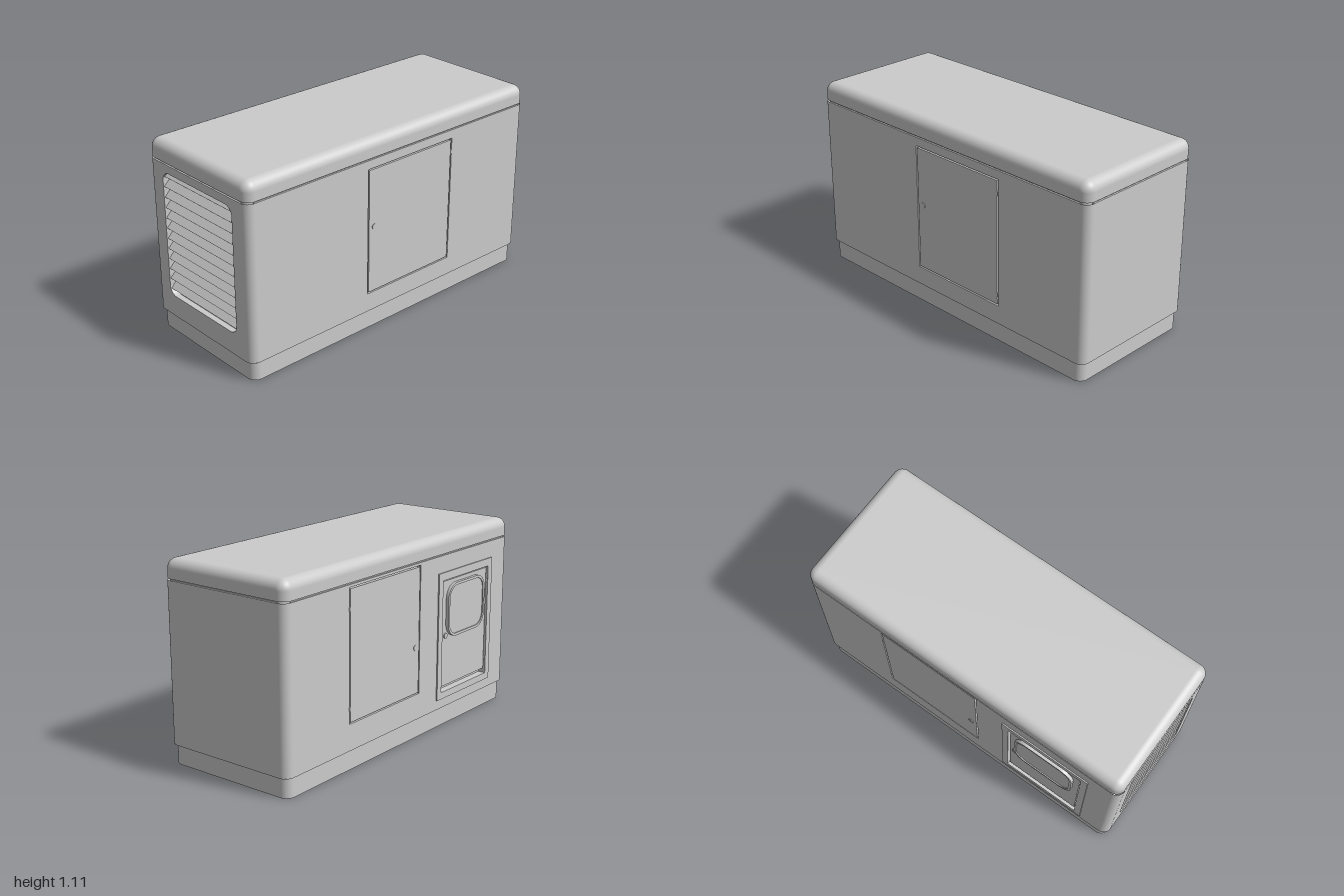
import * as THREE from 'three';
import { RoundedBoxGeometry } from 'three/addons/geometries/RoundedBoxGeometry.js';

const grey = new THREE.MeshStandardMaterial({ color: 0xcccccc, side: THREE.DoubleSide });
const HALF_X = 1, HALF_Z = 0.405, R = 0.05, BOTTOM = 0.11, TOP = 0.997, WALL = 0.04;

function add(parent, name, geometry, x = 0, y = 0, z = 0) {
  const mesh = new THREE.Mesh(geometry, grey);
  mesh.name = name;
  mesh.position.set(x, y, z);
  parent.add(mesh);
  return mesh;
}

// Rectangle with rounded corners, centred on (cx, cy)
function roundRect(w, h, r, cx = 0, cy = 0, Type = THREE.Shape) {
  const s = new Type(), x = w / 2 - r, y = h / 2 - r;
  if (r === 0) {
    s.moveTo(cx - x, cy - y).lineTo(cx + x, cy - y).lineTo(cx + x, cy + y).lineTo(cx - x, cy + y);
  } else {
    s.absarc(cx + x, cy + y, r, 0, Math.PI / 2);
    s.absarc(cx - x, cy + y, r, Math.PI / 2, Math.PI);
    s.absarc(cx - x, cy - y, r, Math.PI, Math.PI * 1.5);
    s.absarc(cx + x, cy - y, r, Math.PI * 1.5, Math.PI * 2);
  }
  s.closePath();
  return s;
}

const extrude = (shape, depth) =>
  new THREE.ExtrudeGeometry(shape, { depth, bevelEnabled: false, curveSegments: 10 });

// Flat plate with rounded corners in plan
function plate(parent, name, w, d, r, y0, y1) {
  add(parent, name, extrude(roundRect(w, d, r), y1 - y0).rotateX(-Math.PI / 2), 0, y0);
}

// Outer wall with openings; the group's local +z points outwards and z = 0 is the wall face
function makeWall(parent, name, angle, distance, halfWidth, openings) {
  const side = new THREE.Group();
  side.name = name;
  side.rotation.y = angle;
  side.position.set(Math.sin(angle) * distance, 0, Math.cos(angle) * distance);
  parent.add(side);
  const shape = roundRect(2 * (halfWidth - R), TOP - BOTTOM, 0, 0, (TOP + BOTTOM) / 2);
  for (const o of openings) shape.holes.push(roundRect(o.w, o.h, o.r, o.x, o.y, THREE.Path));
  add(side, 'wallPanel', extrude(shape, WALL), 0, 0, -WALL);
  return side;
}

// Door panel set in an opening with a narrow gap, plus backing, hinges and round lock
function makeDoor(side, o, { recess = 0, bottomGap = 0.008, hingeX, hingeYs, lock }) {
  const gap = 0.008, h = o.h - gap - bottomGap;
  add(side, 'doorBacking', new THREE.BoxGeometry(o.w + 0.02, o.h + 0.02, 0.005), o.x, o.y, -WALL);
  add(side, 'doorPanel', new THREE.BoxGeometry(o.w - 2 * gap, h, 0.03),
    o.x, o.y + (bottomGap - gap) / 2, -0.015 - recess);
  for (const y of hingeYs)
    add(side, 'hinge', new THREE.CylinderGeometry(0.006, 0.006, 0.022, 12), hingeX, y, -0.003);
  add(side, 'doorLock', new THREE.CylinderGeometry(0.016, 0.016, 0.012, 24).rotateX(Math.PI / 2),
    lock[0], lock[1], -0.002);
}

export function createModel() {
  const model = new THREE.Group();
  model.name = 'equipmentCabin';
  model.position.z = 0.005;

  // Plinth, floor and the recessed strip under the roof
  plate(model, 'plinth', 1.97, 0.79, R, 0, BOTTOM);
  plate(model, 'floor', 2 * HALF_X, 2 * HALF_Z, R, BOTTOM, BOTTOM + 0.004);
  plate(model, 'roofJoint', 1.98, 0.79, R, 0.985, 1.01);

  // Roof: rounded box with its lower half flattened
  const roofGeo = new RoundedBoxGeometry(2 * HALF_X, 0.2, 2 * HALF_Z, 6, 0.055);
  const p = roofGeo.attributes.position;
  for (let i = 0; i < p.count; i++) p.setY(i, Math.max(p.getY(i), -0.005));
  add(model, 'roof', roofGeo, 0, 1.01);

  // Rounded vertical corners
  const height = TOP - BOTTOM;
  [[1, 1], [1, -1], [-1, -1], [-1, 1]].forEach(([sx, sz], i) =>
    add(model, 'wallCorner',
      new THREE.CylinderGeometry(R, R, height, 10, 1, true, i * Math.PI / 2, Math.PI / 2),
      sx * (HALF_X - R), BOTTOM + height / 2, sz * (HALF_Z - R)));

  // Front wall with one door
  const frontDoor = { x: 0.1, y: 0.5825, w: 0.62, h: 0.73, r: 0 };
  const front = makeWall(model, 'frontWall', 0, HALF_Z, HALF_X, [frontDoor]);
  makeDoor(front, frontDoor, { hingeX: 0.407, hingeYs: [0.87, 0.285], lock: [-0.165, 0.61] });

  // Back wall with a plain door and a framed door with a window
  const backDoor = { x: -0.2, y: 0.62, w: 0.62, h: 0.725, r: 0 };
  const entry = { x: 0.55, y: 0.53, w: 0.46, h: 0.65, r: 0 };
  const back = makeWall(model, 'backWall', Math.PI, HALF_Z, HALF_X, [backDoor, entry]);
  makeDoor(back, backDoor, { hingeX: -0.507, hingeYs: [0.87, 0.34], lock: [0.067, 0.53] });
  makeDoor(back, entry, {
    recess: 0.003, bottomGap: 0.03, hingeX: 0.777, hingeYs: [0.77, 0.3], lock: [0.36, 0.53]
  });
  const frame = roundRect(0.54, 0.735, 0, 0.55, 0.5325);
  frame.holes.push(roundRect(entry.w, entry.h, 0, entry.x, entry.y, THREE.Path));
  add(back, 'doorFrame', extrude(frame, 0.007));

  // Window in the framed door
  const rim = roundRect(0.37, 0.31, 0.085, 0.55, 0.67);
  rim.holes.push(roundRect(0.34, 0.28, 0.07, 0.55, 0.67, THREE.Path));
  add(back, 'windowRim', extrude(rim, 0.02), 0, 0, -0.005);
  add(back, 'windowPane', extrude(roundRect(0.35, 0.29, 0.075, 0.55, 0.67), 0.014), 0, 0, -0.005);

  // Plain wall on the left
  makeWall(model, 'leftWall', Math.PI / 2, HALF_X, HALF_Z, []);

  // Right wall with a louvred vent
  const vent = { x: 0, y: 0.5925, w: 0.57, h: 0.715, r: 0.05 };
  const right = makeWall(model, 'rightWall', -Math.PI / 2, HALF_X, HALF_Z, [vent]);
  const count = 12, pitch = vent.h / count;
  for (let i = 0; i <= count; i++) {
    const slat = add(right, 'louvreSlat', new THREE.BoxGeometry(0.62, 0.005, 0.085),
      0, vent.y - vent.h / 2 + i * pitch, -0.037);
    slat.rotation.x = Math.PI / 4;
  }
  add(right, 'ventBacking', new THREE.BoxGeometry(0.7, 0.8, 0.005), 0, vent.y, -0.09);

  return model;
}
